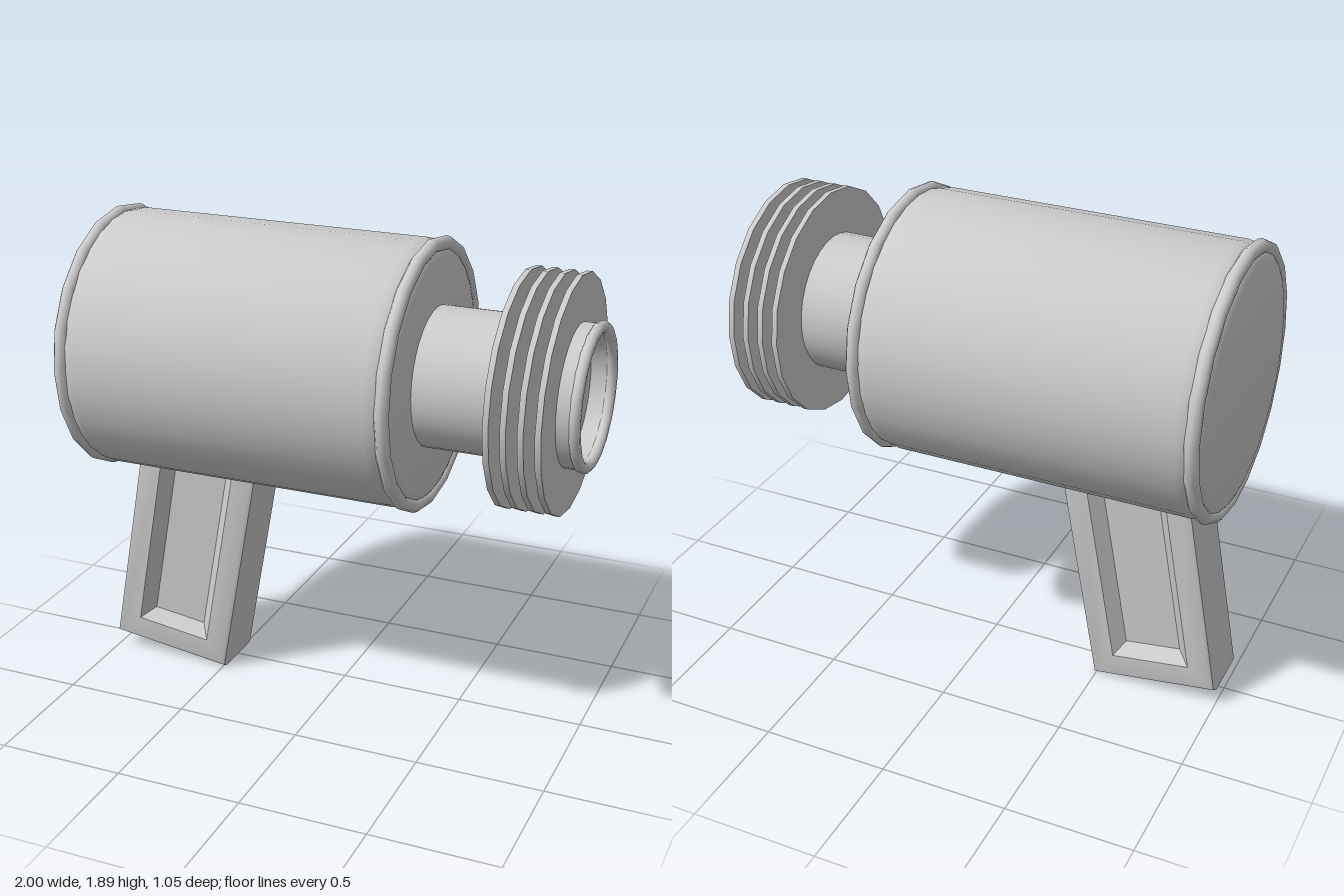
import * as THREE from 'three';
import { toCreasedNormals } from 'three/addons/utils/BufferGeometryUtils.js';

const AXIS_Y = 1.365;
const material = new THREE.MeshStandardMaterial({ color: 0xcccccc });
const gripMaterial = new THREE.MeshStandardMaterial({ color: 0xcccccc, side: THREE.DoubleSide });

// Turned part along x; profile is a list of [x, radius]
function turned(name, profile, segments) {
  const points = profile.map(([x, r]) => new THREE.Vector2(r, x));
  const geometry = new THREE.LatheGeometry(points, segments).rotateZ(-Math.PI / 2);
  const mesh = new THREE.Mesh(toCreasedNormals(geometry, 0.6), material);
  mesh.name = name;
  mesh.position.y = AXIS_Y;
  return mesh;
}

// Rounded ring around the x axis
function ring(name, x, radius, tube) {
  const geometry = new THREE.TorusGeometry(radius, tube, 10, 20).rotateY(Math.PI / 2);
  const mesh = new THREE.Mesh(geometry, material);
  mesh.name = name;
  mesh.position.set(x, AXIS_Y, 0);
  return mesh;
}

// Slanted grip lofted through U-shaped sections, with a sloped pocket on each side
function grip() {
  const width = 0.515, length = 1.0;
  const at = (a, b, z) => [-1 + a * 0.99 + b * 0.179, 0.07 - a * 0.136 + b * 0.984, z];
  // [inset from the outline, z] from pocket floor over the rim to mid depth
  const half = [[0.145, 0.08], [0.1, 0.13], [0.02, 0.13], [0.006, 0.124], [0, 0.11]];
  const sections = [...half, ...half.slice().reverse().map(([i, z]) => [i, -z])];
  const loops = sections.map(([i, z]) => [
    at(i, length, z), at(i, i, z), at(width - i, i, z), at(width - i, length, z),
  ]);
  const positions = [];
  const quad = (a, b, c, d) => positions.push(...a, ...b, ...c, ...a, ...c, ...d);
  for (let s = 0; s < loops.length - 1; s++) {
    const p = loops[s], q = loops[s + 1];
    for (let k = 0; k < 3; k++) quad(p[k], q[k], q[k + 1], p[k + 1]);
  }
  // Pocket floors
  const first = loops[0], last = loops[loops.length - 1];
  quad(first[0], first[1], first[2], first[3]);
  quad(last[3], last[2], last[1], last[0]);
  const geometry = new THREE.BufferGeometry();
  geometry.setAttribute('position', new THREE.Float32BufferAttribute(positions, 3));
  const mesh = new THREE.Mesh(toCreasedNormals(geometry, 0.65), gripMaterial);
  mesh.name = 'grip';
  return mesh;
}

export function createModel() {
  const model = new THREE.Group();
  model.name = 'model';

  // Main drum with rounded shoulders
  const shoulder = [[0, 0.512], [0.04, 0.504], [0.07, 0.485], [0.085, 0.465], [0.09, 0.45]];
  model.add(turned('body', [
    [-0.987, 0],
    ...shoulder.slice().reverse().map(([d, r]) => [-0.897 - d, r]),
    ...shoulder.map(([d, r]) => [0.28 + d, r]),
    [0.37, 0],
  ], 32));
  model.add(ring('rearRim', -0.955, 0.498, 0.027));
  model.add(ring('frontRim', 0.345, 0.498, 0.027));

  // Nozzle with a recessed end
  model.add(turned('nozzle', [
    [0.34, 0.27], [0.975, 0.27], [0.975, 0.242], [0.9, 0.242], [0.9, 0],
  ], 32));
  model.add(ring('nozzleRim', 0.976, 0.26, 0.022));

  // Thin discs around the nozzle
  for (let i = 0; i < 4; i++) {
    const x = 0.71 + i * 0.063, t = 0.011;
    model.add(turned(`fin${i + 1}`, [
      [x - t, 0.25], [x - t, 0.45], [x + t, 0.45], [x + t, 0.25],
    ], 20));
  }

  model.add(grip());
  return model;
}
